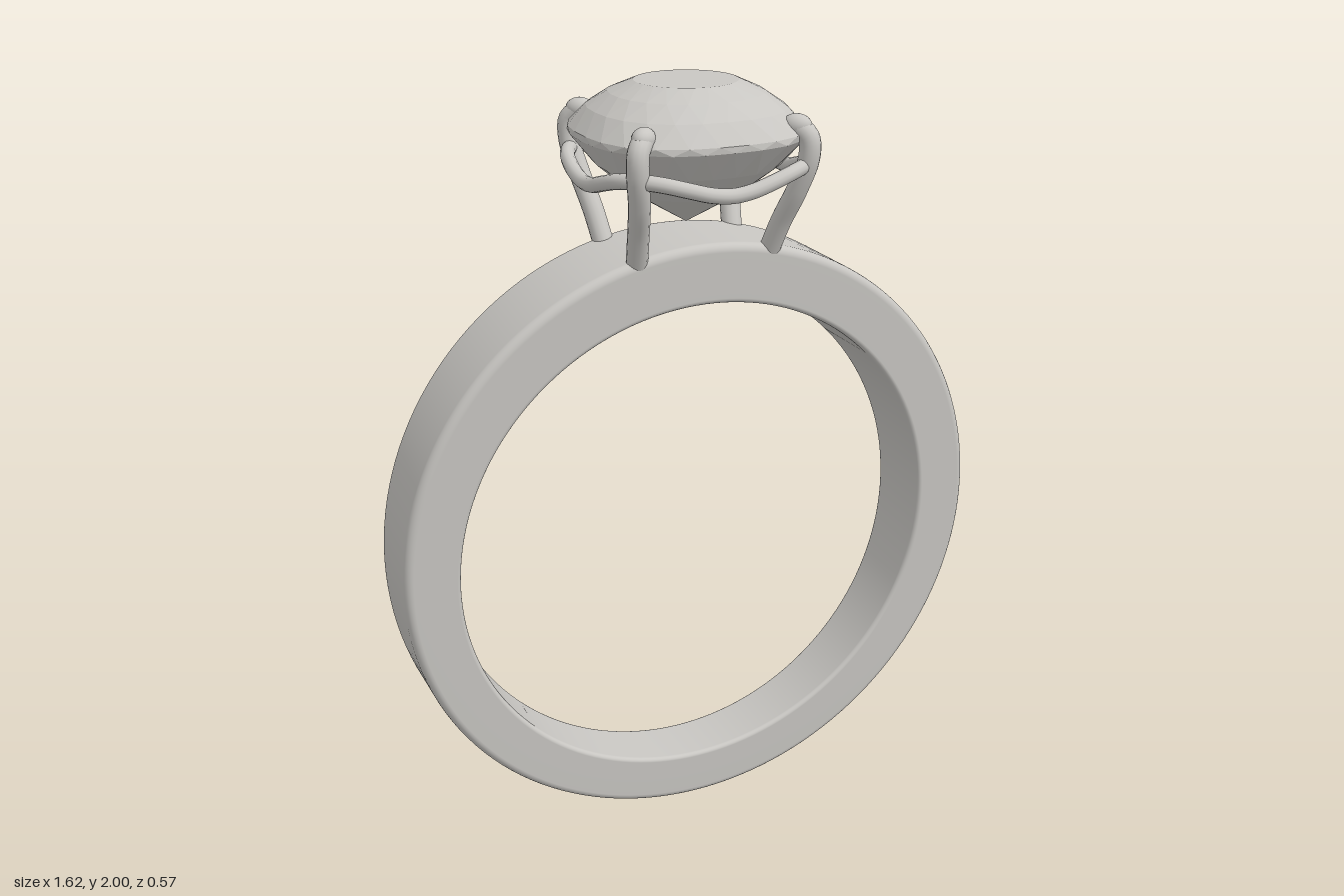
import * as THREE from 'three';
import { ConvexGeometry } from 'three/addons/geometries/ConvexGeometry.js';

const silver = new THREE.MeshStandardMaterial({ color: 0xc8c6c2 });
silver.name = 'silver grey';

function add(parent, name, geometry) {
  const mesh = new THREE.Mesh(geometry, silver);
  mesh.name = name;
  parent.add(mesh);
  return mesh;
}

// Point on a rounded square (superellipse) of half-width r
function cushion(r, t, n) {
  const c = Math.cos(t), s = Math.sin(t);
  const k = r / Math.pow(Math.abs(c) ** n + Math.abs(s) ** n, 1 / n);
  return [c * k, s * k];
}

// Rounded rectangular section swept round the finger, narrowing to the bottom
function bandGeometry() {
  const section = []; // u: inner 0 to outer 1, side: -1 or 1, inset from the side face
  const corners = [[1, -1, 0.022], [1, 1, 0.022], [0, 1, 0.012], [0, -1, 0.012]];
  const steps = 5;
  corners.forEach(([outer, side, b], q) => {
    for (let k = 0; k <= steps; k++) {
      const a = (q - 1 + k / steps) * Math.PI / 2;
      const du = (b / 0.147) * (1 - Math.abs(Math.cos(a)));
      section.push([outer ? 1 - du : du, side, b * (1 - Math.abs(Math.sin(a)))]);
    }
  });
  const pos = [], index = [], around = 144, m = section.length;
  for (let i = 0; i < around; i++) {
    const a = (i / around) * Math.PI * 2;
    for (const [u, side, inset] of section) {
      const r = THREE.MathUtils.lerp(0.663, 0.808, u);
      const y = THREE.MathUtils.lerp(0.798, 0.808, u) + r * Math.cos(a);
      const half = 0.079 + 0.058 * y / 1.62;
      pos.push(r * Math.sin(a), y, side * (half - inset));
    }
    for (let j = 0; j < m; j++) {
      const i2 = (i + 1) % around, j2 = (j + 1) % m;
      const p = i * m + j, q = i * m + j2, s = i2 * m + j, t = i2 * m + j2;
      index.push(p, q, s, q, t, s);
    }
  }
  const g = new THREE.BufferGeometry();
  g.setAttribute('position', new THREE.Float32BufferAttribute(pos, 3));
  g.setIndex(index);
  g.computeVertexNormals();
  return g;
}

// Faceted cushion stone from staggered rings
function stoneGeometry() {
  const rings = [ // radius, height, squareness, stagger
    [0.13, 2.0, 2.0, 0], [0.19, 1.973, 2.2, 0.5], [0.24, 1.937, 2.4, 0],
    [0.28, 1.888, 2.6, 0.5], [0.28, 1.872, 2.6, 0],
    [0.225, 1.8, 2.4, 0.5], [0.14, 1.728, 2.1, 0],
  ];
  const points = [new THREE.Vector3(0, 1.645, 0)];
  const sides = 24;
  for (const [r, y, n, stagger] of rings) {
    for (let i = 0; i < sides; i++) {
      const [x, z] = cushion(r, ((i + stagger) / sides) * Math.PI * 2, n);
      points.push(new THREE.Vector3(x, y, z));
    }
  }
  return new ConvexGeometry(points);
}

export function createModel() {
  const ring = new THREE.Group();
  ring.name = 'ring';
  add(ring, 'band', bandGeometry());

  const setting = new THREE.Group();
  setting.name = 'setting';
  ring.add(setting);
  add(setting, 'stone', stoneGeometry());

  // Wavy rail linking the prongs, low at mid-side and high at the corners
  const railPoints = [];
  for (let i = 0; i < 32; i++) {
    const t = (i / 32) * Math.PI * 2;
    const [x, z] = cushion(0.268, t, 3.4);
    railPoints.push(new THREE.Vector3(x, 1.79 - 0.022 * Math.cos(4 * t), z));
  }
  const railCurve = new THREE.CatmullRomCurve3(railPoints, true);
  add(setting, 'rail', new THREE.TubeGeometry(railCurve, 128, 0.019, 12, true));

  // Four prongs with rounded claws folded over the stone
  const path = [[0.178, 1.56, 0.1], [0.192, 1.66, 0.148], [0.209, 1.75, 0.198],
    [0.224, 1.83, 0.226], [0.222, 1.88, 0.226], [0.2, 1.908, 0.205]];
  for (const sx of [-1, 1]) {
    for (const sz of [-1, 1]) {
      const prong = new THREE.Group();
      prong.name = 'prong';
      setting.add(prong);
      const pts = path.map(([x, y, z]) => new THREE.Vector3(x * sx, y, z * sz));
      const curve = new THREE.CatmullRomCurve3(pts);
      add(prong, 'prongStem', new THREE.TubeGeometry(curve, 40, 0.027, 14));
      const claw = add(prong, 'prongClaw', new THREE.SphereGeometry(1, 18, 12));
      claw.scale.set(0.028, 0.028, 0.038);
      claw.position.copy(pts[5]);
      claw.rotation.y = Math.atan2(sx, sz);
    }
  }
  return ring;
}
